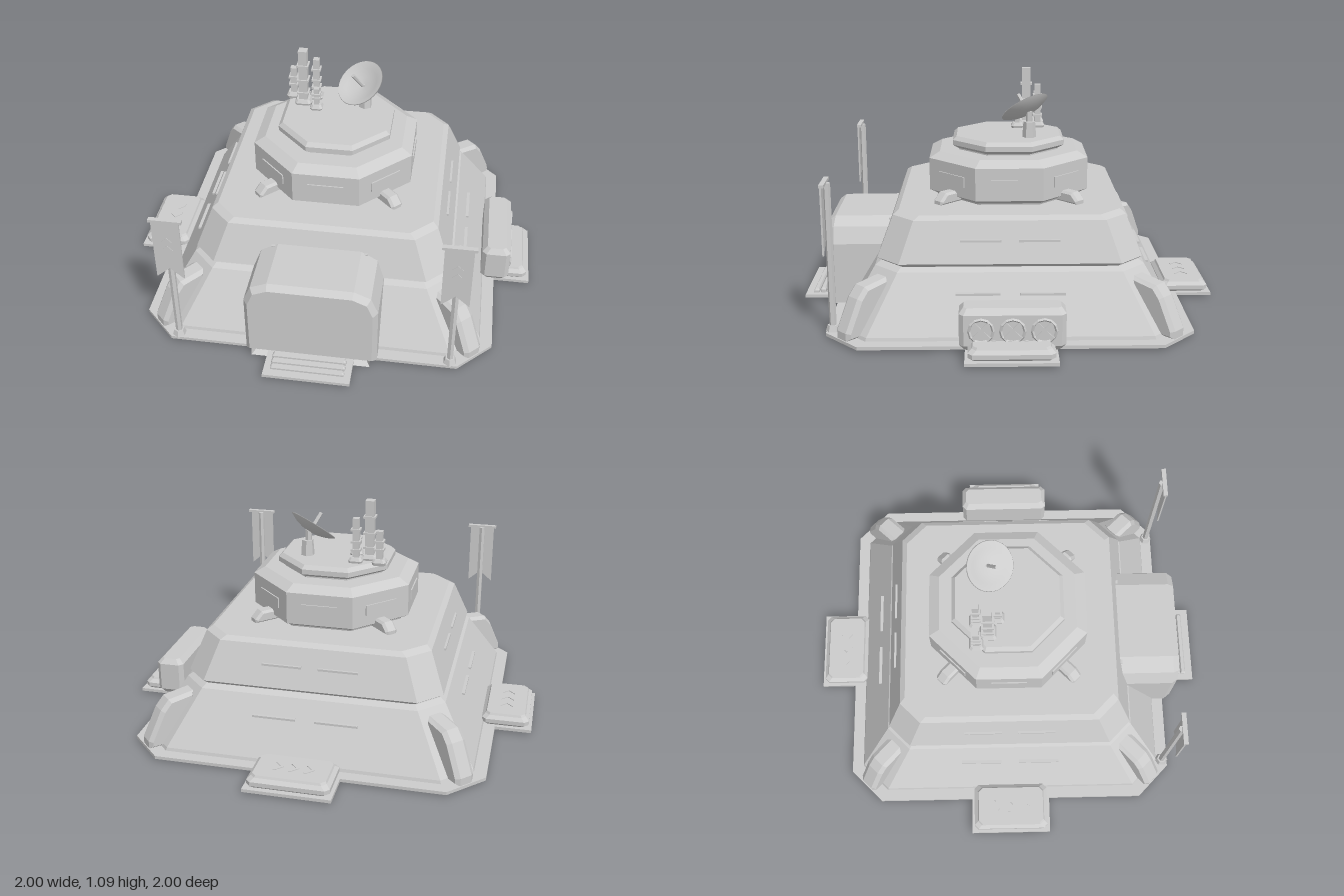
import * as THREE from 'three';

const grey = new THREE.MeshStandardMaterial({ color: 0xcccccc });
grey.name = 'light grey';

function add(parent, name, geo, x = 0, y = 0, z = 0) {
  const m = new THREE.Mesh(geo, grey);
  m.name = name;
  m.position.set(x, y, z);
  parent.add(m);
  return m;
}
const box = (w, h, d) => new THREE.BoxGeometry(w, h, d);
const flat = (g) => { const n = g.index ? g.toNonIndexed() : g; n.computeVertexNormals(); return n; };
const prism = (r0, r1, h, n) => flat(new THREE.CylinderGeometry(r0, r1, h, n));
const shapeOf = (pts) => new THREE.Shape(pts.map(([x, y]) => new THREE.Vector2(x, y)));

// Closed loft through chamfered rectangles; rows are [halfX, halfZ, chamfer, y]
function loft(rows) {
  const loops = rows.map(([a, b, c, y]) => [
    [a, y, c - b], [a, y, b - c], [a - c, y, b], [c - a, y, b],
    [-a, y, b - c], [-a, y, c - b], [c - a, y, -b], [a - c, y, -b]]);
  const pos = [];
  const tri = (...p) => p.forEach((v) => pos.push(...v));
  for (let r = 0; r < loops.length - 1; r++) {
    for (let i = 0; i < 8; i++) {
      const j = (i + 1) % 8, lo = loops[r], hi = loops[r + 1];
      tri(lo[i], hi[i], lo[j]);
      tri(lo[j], hi[i], hi[j]);
    }
  }
  const bottom = loops[0], top = loops[loops.length - 1];
  for (let i = 1; i < 7; i++) {
    tri(top[0], top[i + 1], top[i]);
    tri(bottom[0], bottom[i], bottom[i + 1]);
  }
  const g = new THREE.BufferGeometry();
  g.setAttribute('position', new THREE.Float32BufferAttribute(pos, 3));
  g.computeVertexNormals();
  return g;
}
const square = (rows) => loft(rows.map(([h, c, y]) => [h, h, c, y]));
const octagon = (rows) => loft(rows.map(([h, y]) => [h, h, h * 0.586, y]));

// Arched doorway outline with chamfered upper corners
const arch = (w, h, c, y = 0.012) => [
  [-w, y], [w, y], [w, h - c], [w - c * 0.3, h - c * 0.3], [w - c, h],
  [c - w, h], [c * 0.3 - w, h - c * 0.3], [-w, h - c]];

// Row of thin chevrons lying in the XY plane, pointing along +x
function chevrons(parent, count, size, gap) {
  const g = new THREE.Group();
  g.name = 'chevronMarks';
  const s = size, t = size * 0.45;
  const geo = new THREE.ExtrudeGeometry(
    shapeOf([[-s / 2, -s], [t - s / 2, -s], [t + s / 2, 0], [t - s / 2, s], [-s / 2, s], [s / 2, 0]]),
    { depth: 0.004, bevelEnabled: false });
  for (let i = 0; i < count; i++) add(g, 'chevron', geo, (i - (count - 1) / 2) * gap);
  parent.add(g);
  return g;
}

function addBase(root) {
  const q = [[0.2, 1], [0.2, 0.826], [0.67, 0.826], [0.826, 0.67], [0.826, 0.2], [1, 0.2]];
  const pts = [
    ...q, ...[...q].reverse().map(([x, y]) => [x, -y]),
    ...q.map(([x, y]) => [-x, -y]), ...[...q].reverse().map(([x, y]) => [-x, y])];
  const g = new THREE.ExtrudeGeometry(shapeOf(pts), { depth: 0.015, bevelEnabled: false });
  add(root, 'basePlate', g.rotateX(Math.PI / 2), 0, 0.015, 0);
  add(root, 'lowerTier', square([[0.77, 0.13, 0.012], [0.765, 0.13, 0.03], [0.615, 0.11, 0.278], [0.59, 0.1, 0.295]]));
  add(root, 'upperTier', square([[0.575, 0.1, 0.285], [0.605, 0.105, 0.312], [0.535, 0.1, 0.495], [0.51, 0.1, 0.513]]));
}

// Raised strips and corner buttresses, repeated on four sides
function addSides(root) {
  const buttress = new THREE.ExtrudeGeometry(
    shapeOf([[0.84, 0.015], [1.05, 0.015], [1.05, 0.05], [0.98, 0.19], [0.94, 0.235], [0.82, 0.25]]),
    { depth: 0.06, bevelSize: 0.015, bevelThickness: 0.02, bevelOffset: -0.012, bevelSegments: 1 })
    .translate(0, 0, -0.03);
  const lug = new THREE.ExtrudeGeometry(
    shapeOf([[0.34, 0.51], [0.475, 0.51], [0.475, 0.53], [0.44, 0.565], [0.34, 0.565]]),
    { depth: 0.04, bevelSize: 0.01, bevelThickness: 0.012, bevelOffset: -0.01, bevelSegments: 1 })
    .translate(0, 0, -0.02);
  for (let k = 0; k < 4; k++) {
    const side = new THREE.Group();
    side.name = 'side';
    side.rotation.y = k * Math.PI / 2;
    for (const s of [-1, 1]) {
      add(side, 'lowerStrip', box(0.2, 0.01, 0.018), s * 0.145, 0.195, 0.668);
      add(side, 'upperStrip', box(0.185, 0.01, 0.018), s * 0.132, 0.41, 0.567);
    }
    add(side, 'cornerButtress', buttress).rotation.y = Math.PI / 4;
    add(side, 'turretLug', lug).rotation.y = Math.PI / 4;
    root.add(side);
  }
}

function addTurret(root) {
  add(root, 'turret', octagon([[0.34, 0.505], [0.345, 0.52], [0.38, 0.54], [0.38, 0.695], [0.33, 0.724]]));
  add(root, 'turretCap', octagon([[0.24, 0.715], [0.24, 0.73], [0.268, 0.748], [0.268, 0.772], [0.25, 0.79]]));
  for (let k = 0; k < 8; k++) {
    const a = k * Math.PI / 4;
    add(root, 'turretWindow', box(0.17, 0.05, 0.008), Math.sin(a) * 0.382, 0.617, Math.cos(a) * 0.382).rotation.y = a;
  }
}

function addEntrance(root) {
  const frame = (w, h, c, w2, h2, c2, z, bevel) => {
    const s = shapeOf(arch(w, h, c));
    s.holes.push(new THREE.Path(arch(w2, h2, c2, 0.013).reverse().map(([x, y]) => new THREE.Vector2(x, y))));
    return new THREE.ExtrudeGeometry(s, {
      depth: z - 0.5 - bevel, bevelThickness: bevel, bevelSize: bevel * 0.7,
      bevelOffset: -bevel * 0.7, bevelSegments: 1 }).translate(0, 0, 0.5);
  };
  add(root, 'entranceHousing', frame(0.305, 0.42, 0.11, 0.255, 0.375, 0.075, 0.865, 0.03));
  add(root, 'doorFrame', frame(0.258, 0.38, 0.075, 0.232, 0.325, 0.04, 0.845, 0.015));
  const door = new THREE.ExtrudeGeometry(shapeOf(arch(0.238, 0.33, 0.04)), { depth: 0.32, bevelEnabled: false });
  add(root, 'door', door, 0, 0, 0.5);
  chevrons(root, 3, 0.03, 0.07).position.set(0, 0.18, 0.82);
  // Ramp bars in front of the door
  for (let i = 0; i < 3; i++) {
    add(root, 'rampBar', loft([[0.17, 0.013, 0.004, 0.012], [0.17, 0.013, 0.004, 0.034 - i * 0.005],
      [0.163, 0.008, 0.004, 0.042 - i * 0.005]]), 0, 0, 0.885 + i * 0.032);
  }
}

function addPads(root) {
  // Service pads on the left, back and right
  for (const a of [Math.PI / 2, Math.PI, -Math.PI / 2]) {
    const pad = new THREE.Group();
    pad.name = 'servicePad';
    add(pad, 'padBody', loft([[0.175, 0.1, 0.02, 0.012], [0.187, 0.113, 0.02, 0.025], [0.187, 0.113, 0.02, 0.045],
      [0.17, 0.097, 0.02, 0.06], [0.165, 0.092, 0.02, 0.07]]), 0, 0, 0.872);
    const marks = chevrons(pad, 3, 0.03, 0.07);
    marks.position.set(0, 0.069, 0.872);
    marks.rotation.x = -Math.PI / 2;
    pad.rotation.y = a;
    root.add(pad);
  }
  // Cooling unit with three fans
  const unit = new THREE.Group();
  unit.name = 'coolingUnit';
  unit.position.set(0.826, 0, -0.005);
  add(unit, 'unitBody', loft([[0.05, 0.21, 0.015, 0.02], [0.069, 0.23, 0.02, 0.045], [0.069, 0.23, 0.02, 0.185], [0.045, 0.21, 0.015, 0.21]]));
  for (const z of [-0.135, 0, 0.135]) {
    const rim = add(unit, 'fanRim', flat(new THREE.TorusGeometry(0.052, 0.007, 4, 12)), 0.071, 0.115, z);
    rim.rotation.y = Math.PI / 2;
    for (const t of [0.8, -0.8]) add(unit, 'fanBlade', box(0.008, 0.016, 0.1), 0.072, 0.115, z).rotation.x = t;
  }
  root.add(unit);
}

function addBanners(root) {
  for (const s of [-1, 1]) {
    const b = new THREE.Group();
    b.name = 'banner';
    b.position.set(s * 0.637, 0, 0.797);
    add(b, 'poleFoot', prism(0.024, 0.034, 0.03, 6), 0, 0.027, 0);
    add(b, 'pole', prism(0.016, 0.016, 0.69, 6), 0, 0.355, 0);
    add(b, 'crossbar', box(0.15, 0.013, 0.022), 0, 0.703, 0.012);
    const cloth = shapeOf([[-0.063, 0.7], [-0.063, 0.385], [0, 0.44], [0.063, 0.385], [0.063, 0.7]]);
    add(b, 'bannerCloth', new THREE.ExtrudeGeometry(cloth, { depth: 0.008, bevelEnabled: false }), 0, 0, 0.014);
    const marks = chevrons(b, 2, 0.025, 0.045);
    marks.position.set(0, 0.57, 0.02);
    marks.rotation.z = Math.PI / 2;
    root.add(b);
  }
}

function addRoofGear(root) {
  // Masts: x, z, half width, top, ring heights
  const masts = [
    [-0.18, -0.095, 0.021, 1.08, [0.85, 0.92, 1.0]], [-0.237, -0.15, 0.015, 0.95, [0.86, 0.9]],
    [-0.124, -0.15, 0.015, 1.005, [0.85, 0.89, 0.95]], [-0.108, -0.048, 0.012, 0.9, [0.85, 0.87]]];
  for (const [x, z, w, top, rings] of masts) {
    const m = new THREE.Group();
    m.name = 'antennaMast';
    m.position.set(x, 0, z);
    add(m, 'mastShaft', box(w * 2, top - 0.78, w * 2), 0, (top + 0.78) / 2, 0);
    const r = w + 0.015;
    add(m, 'mastFoot', square([[r, 0.01, 0.785], [r + 0.004, 0.01, 0.8], [r - 0.004, 0.01, 0.815]]));
    for (const y of rings) add(m, 'mastRing', box(w * 2 + 0.016, 0.01, w * 2 + 0.016), 0, y, 0);
    root.add(m);
  }
  // Tilted dish on its pedestal
  add(root, 'dishPedestal', prism(0.028, 0.034, 0.08, 6), 0.125, 0.825, -0.1);
  add(root, 'dishNeck', prism(0.016, 0.016, 0.07, 6), 0.12, 0.88, -0.1);
  const profile = [[0, -0.034], [0.045, -0.029], [0.085, -0.017], [0.122, 0.002], [0.119, 0.006], [0.085, -0.008], [0.045, -0.02], [0, -0.025]];
  const dish = new THREE.Group();
  dish.name = 'dish';
  add(dish, 'dishBowl', new THREE.LatheGeometry(profile.map(([x, y]) => new THREE.Vector2(x, y)), 28));
  add(dish, 'dishFeed', prism(0.009, 0.009, 0.1, 6), 0, 0.025, 0);
  dish.position.set(0.102, 0.928, -0.08);
  dish.quaternion.setFromUnitVectors(new THREE.Vector3(0, 1, 0), new THREE.Vector3(-0.43, 0.79, 0.43).normalize());
  root.add(dish);
}

export function createModel() {
  const root = new THREE.Group();
  root.name = 'outpost';
  for (const build of [addBase, addSides, addTurret, addEntrance, addPads, addBanners, addRoofGear]) build(root);
  return root;
}
